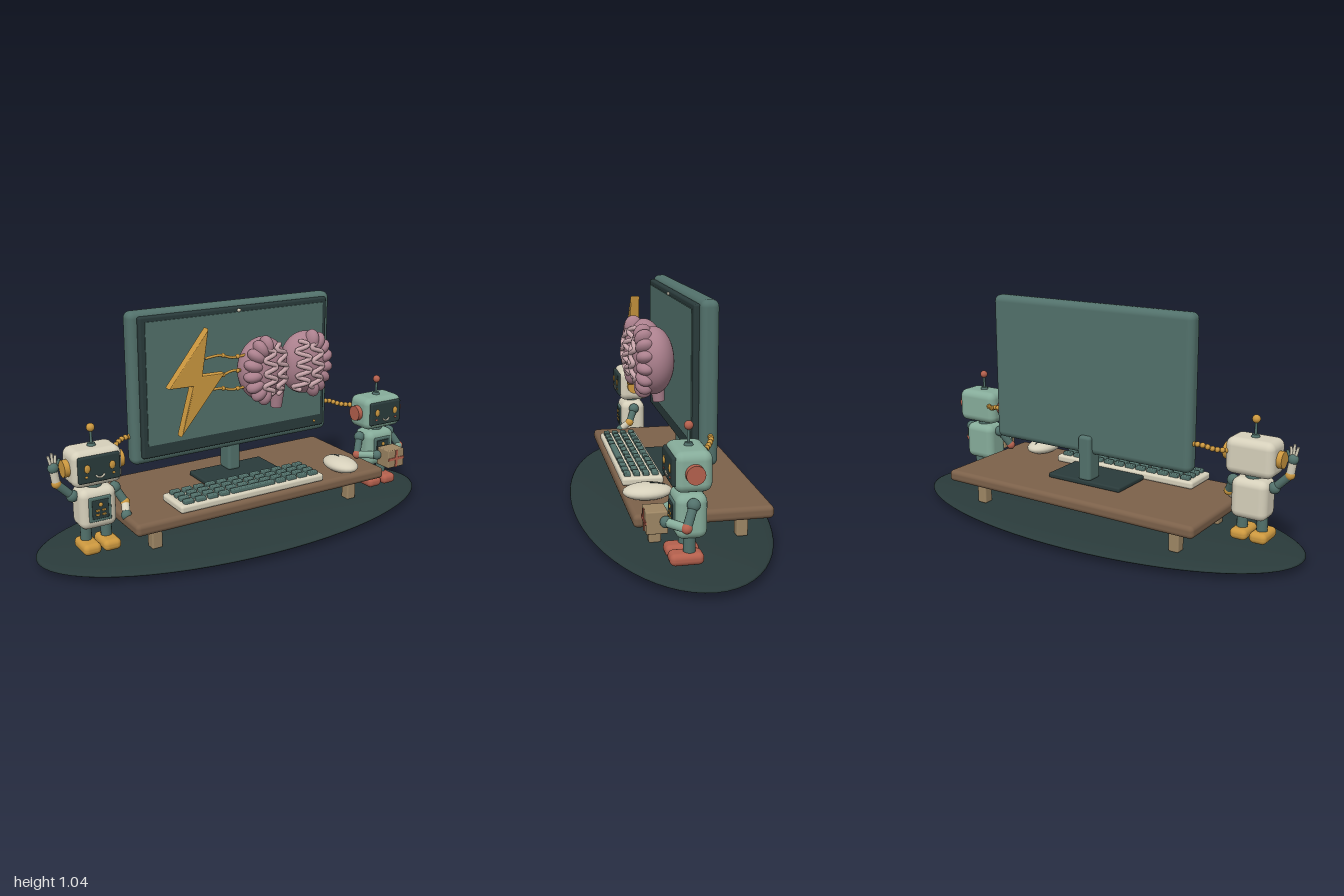
import * as THREE from 'three';
import { RoundedBoxGeometry } from 'three/addons/geometries/RoundedBoxGeometry.js';

const paint = (name, color) => Object.assign(new THREE.MeshStandardMaterial({ color }), { name });
const teal = paint('teal', 0x52716b), dark = paint('dark slate', 0x2a3b3b), cream = paint('cream', 0xd6d0bb);
const green = paint('sage green', 0x86ac9a), gold = paint('gold', 0xcc983f), red = paint('brick red', 0xb4604d);
const wood = paint('walnut', 0x7c614a), tan = paint('tan', 0x9d8664);
const pink = paint('brain pink', 0xab808d), blush = paint('light pink', 0xc9a6ab);
const V = (x, y, z) => new THREE.Vector3(x, y, z);

function add(parent, name, geo, mat, x = 0, y = 0, z = 0) {
  const m = new THREE.Mesh(geo, mat);
  m.name = name;
  m.position.set(x, y, z);
  parent.add(m);
  return m;
}
const group = (parent, name, x = 0, y = 0, z = 0) => {
  const g = new THREE.Group();
  g.name = name;
  g.position.set(x, y, z);
  parent.add(g);
  return g;
};
const box = (w, h, d, r) => new RoundedBoxGeometry(w, h, d, 3, r);
const ball = (rx, ry = rx, rz = rx) => new THREE.SphereGeometry(1, 24, 16).scale(rx, ry, rz);
const tube = (pts, r, n = 40) => new THREE.TubeGeometry(new THREE.CatmullRomCurve3(pts), n, r, 8);

// Straight cylinder between two points
function limb(parent, name, a, b, r, mat) {
  const d = b.clone().sub(a), mid = a.clone().lerp(b, 0.5);
  const m = add(parent, name, new THREE.CylinderGeometry(r, r, d.length(), 16), mat, mid.x, mid.y, mid.z);
  m.quaternion.setFromUnitVectors(V(0, 1, 0), d.normalize());
}

function buildDesk(root) {
  add(root, 'groundDisc', new THREE.SphereGeometry(1, 64, 24).scale(1, 0.033, 0.432), dark, 0, 0.034, 0);
  const desk = group(root, 'desk');
  add(desk, 'deskTop', box(1.31, 0.055, 0.58, 0.02), wood, 0, 0.192, -0.04);
  for (const x of [-0.525, 0.525]) for (const z of [0.145, -0.225])
    add(desk, 'deskLeg', box(0.05, 0.12, 0.05, 0.008), tan, x, 0.115, z);
}

function buildMonitor(root) {
  const g = group(root, 'monitor');
  add(g, 'monitorShell', box(1.05, 0.685, 0.077, 0.03), teal, 0, 0.7, -0.0865);
  add(g, 'bezel', box(0.975, 0.632, 0.03, 0.01), dark, 0, 0.707, -0.04);
  add(g, 'screen', new THREE.BoxGeometry(0.925, 0.55, 0.006), teal, 0, 0.725, -0.024);
  add(g, 'camera', ball(0.01, 0.008, 0.006), cream, 0, 1.008, -0.02);
  add(g, 'powerLight', ball(0.006), gold, 0.43, 0.42, -0.024);
  add(g, 'standNeck', box(0.066, 0.21, 0.087, 0.015), teal, 0, 0.342, -0.103);
  add(g, 'standFoot', box(0.39, 0.023, 0.215, 0.008), dark, 0, 0.231, -0.045);
}

function buildKeyboard(root) {
  const g = group(root, 'keyboard');
  add(g, 'keyboardTray', box(0.745, 0.035, 0.182, 0.012), cream, -0.072, 0.238, 0.15);
  for (let row = 0; row < 4; row++) for (let col = 0; col < 12; col++) {
    const x = -0.396 + col * 0.059;
    if (row === 3 && col > 3 && col < 8) continue;
    add(g, 'key', box(0.046, 0.022, 0.027, 0.005), teal, x, 0.261, 0.09 + row * 0.041);
  }
  add(g, 'spaceBar', box(0.225, 0.022, 0.027, 0.005), teal, -0.072, 0.261, 0.213);
  const mouse = group(root, 'mouse', 0.457, 0.25, 0.16);
  add(mouse, 'mouseShell', ball(0.07, 0.034, 0.104), cream);
  add(mouse, 'mouseSeam', tube([V(0, 0.023, -0.075), V(0, 0.0305, -0.045), V(0, 0.0345, -0.01)], 0.0025, 12), dark);
}

function buildBolt(root) {
  const pts = [[-0.235, 0.965], [-0.415, 0.737], [-0.302, 0.735], [-0.365, 0.522], [-0.16, 0.766], [-0.268, 0.766]];
  const shape = new THREE.Shape(pts.map(([x, y]) => new THREE.Vector2(x, y)));
  add(root, 'lightningBolt', new THREE.ExtrudeGeometry(shape,
    { depth: 0.03, bevelThickness: 0.006, bevelSize: 0.006, bevelSegments: 2 }), gold, 0, 0, 0.077);
  // Wires from the bolt to the brain
  for (const [y, dy] of [[0.84, 0.008], [0.765, -0.008], [0.695, 0.006]]) {
    add(root, 'brainWire', tube([V(-0.24, y, 0.09), V(-0.17, y + dy, 0.1), V(-0.11, y - dy, 0.105), V(-0.03, y, 0.11)], 0.006, 24), gold);
    add(root, 'wireNode', ball(0.01), gold, -0.155, y + dy * 0.7, 0.1);
    add(root, 'wireNode', ball(0.01), gold, -0.085, y - dy * 0.7, 0.107);
  }
}

function buildBrain(root) {
  const brain = group(root, 'brain', 0.16, 0.762, 0.1);
  for (const s of [-1, 1]) {
    const half = group(brain, 'brainHalf', s * 0.112, 0, 0);
    // Flatten the side that meets the other half
    const geo = new THREE.SphereGeometry(1, 40, 28).scale(0.121, 0.144, 0.088);
    const p = geo.attributes.position;
    for (let i = 0; i < p.count; i++) if (p.getX(i) * s < -0.106) p.setX(i, -s * 0.106);
    geo.computeVertexNormals();
    add(half, 'hemisphere', geo, pink);
    // Plump folds around the outer edge
    for (let i = 0; i < 8; i++) {
      const a = -1.35 + i * 0.4;
      const fold = add(half, 'outerFold', ball(0.046, 0.029, 0.04), pink,
        s * Math.cos(a) * 0.076, Math.sin(a) * 0.113, 0.045);
      fold.rotation.z = s * a;
    }
    // Winding ridges laid over the front
    const ridge = (cx, amp, top, turns, phase) => {
      const pts = [];
      const n = turns * 8;
      for (let i = 0; i <= n; i++) {
        const t = i / n, y = top * (1 - 2 * t);
        const x = s * (cx + amp * Math.sin(t * turns * Math.PI * 2 + phase));
        const k = Math.max(0.08, 1 - (x / 0.125) ** 2 - (y / 0.15) ** 2);
        pts.push(V(x, y, 0.092 * Math.sqrt(k) + 0.004));
      }
      add(half, 'frontRidge', tube(pts, 0.0105, turns * 24), blush);
      for (const e of [pts[0], pts[n]]) add(half, 'ridgeEnd', ball(0.0105), blush, e.x, e.y, e.z);
    };
    ridge(-0.055, 0.028, 0.112, 4, 0);
    ridge(0.014, 0.027, 0.118, 4, 1.2);
  }
  const stem = add(brain, 'brainStem', new THREE.CylinderGeometry(0.036, 0.026, 0.13, 20), pink, -0.005, -0.14, -0.04);
  stem.rotation.x = 0.1;
}

function buildRobot(root, name, x, z, shell, accent) {
  const g = group(root, name, x, 0, z);
  add(g, 'head', box(0.22, 0.16, 0.148, 0.035), shell, 0, 0.447, 0);
  add(g, 'facePlate', box(0.185, 0.115, 0.02, 0.009), dark, 0, 0.45, 0.073);
  add(g, 'smile', new THREE.TorusGeometry(0.02, 0.004, 8, 16, Math.PI * 0.8).rotateZ(Math.PI * 1.1), cream, 0, 0.433, 0.084);
  add(g, 'antennaRod', new THREE.CylinderGeometry(0.006, 0.006, 0.08, 10), teal, 0, 0.56, 0);
  add(g, 'antennaBase', new THREE.CylinderGeometry(0.015, 0.02, 0.015, 16), teal, 0, 0.531, 0);
  add(g, 'antennaBall', ball(0.018), accent, 0, 0.604, 0);
  add(g, 'neck', new THREE.CylinderGeometry(0.035, 0.035, 0.04, 20), teal, 0, 0.36, 0);
  add(g, 'torso', box(0.165, 0.18, 0.125, 0.035), shell, 0, 0.262, 0);
  // Chest panel with lights
  add(g, 'chestFrame', box(0.1, 0.11, 0.014, 0.006), teal, 0, 0.265, 0.061);
  add(g, 'chestPanel', box(0.074, 0.084, 0.009, 0.004), dark, 0, 0.265, 0.067);
  add(g, 'chestLight', ball(0.009, 0.009, 0.005), gold, 0, 0.287, 0.072);
  for (const y of [0.262, 0.243]) for (const dx of [-0.014, 0.014])
    add(g, 'chestButton', box(0.018, 0.009, 0.008, 0.003), gold, dx, y, 0.071);
  for (const s of [-1, 1]) {
    add(g, 'eye', ball(0.013, 0.018, 0.006), gold, s * 0.055, 0.457, 0.083);
    add(g, 'cheek', ball(0.007, 0.005, 0.004), accent, s * 0.06, 0.422, 0.083);
    add(g, 'ear', new THREE.CylinderGeometry(0.037, 0.037, 0.03, 28).rotateZ(Math.PI / 2), accent, s * 0.118, 0.447, 0);
    add(g, 'leg', new THREE.CylinderGeometry(0.024, 0.024, 0.08, 16), teal, s * 0.046, 0.148, 0.005);
    add(g, 'foot', box(0.08, 0.05, 0.135, 0.022), accent, s * 0.045, 0.093, 0.018);
  }
  return g;
}

function buildArm(robot, shell, accent, shoulder, elbow, hand) {
  const g = group(robot, 'arm');
  add(g, 'shoulder', ball(0.026), teal, shoulder.x, shoulder.y, shoulder.z);
  limb(g, 'upperArm', shoulder, elbow, 0.018, teal);
  add(g, 'elbow', ball(0.021), accent, elbow.x, elbow.y, elbow.z);
  limb(g, 'forearm', elbow, hand, 0.018, shell);
  add(g, 'hand', ball(0.023), teal, hand.x, hand.y, hand.z);
}

export function createModel() {
  const root = new THREE.Group();
  root.name = 'robotDeskScene';
  buildDesk(root);
  buildMonitor(root);
  buildKeyboard(root);
  buildBolt(root);
  buildBrain(root);

  // Waving robot
  const waver = buildRobot(root, 'wavingRobot', -0.75, 0.033, cream, gold);
  buildArm(waver, cream, gold, V(-0.095, 0.32, 0), V(-0.16, 0.388, 0), V(-0.17, 0.458, 0));
  buildArm(waver, cream, gold, V(0.095, 0.32, 0), V(0.128, 0.255, 0.03), V(0.112, 0.215, 0.075));
  for (let i = -1; i <= 2; i++)
    limb(waver, 'finger', V(-0.17 + i * 0.008, 0.465, 0), V(-0.173 + i * 0.016, i === 2 ? 0.495 : 0.522 - Math.abs(i) * 0.01, 0), 0.006, i === 2 ? teal : cream);

  // Robot carrying a gift box
  const carrier = buildRobot(root, 'carryingRobot', 0.75, 0.053, green, red);
  for (const s of [-1, 1])
    buildArm(carrier, green, red, V(s * 0.095, 0.32, 0), V(s * 0.135, 0.245, 0.035), V(s * 0.062, 0.248, 0.1));
  const gift = group(carrier, 'giftBox', 0, 0.24, 0.13);
  add(gift, 'giftBody', box(0.098, 0.09, 0.085, 0.005), tan);
  add(gift, 'ribbonUpright', new THREE.BoxGeometry(0.013, 0.088, 0.006), red, 0, 0, 0.043);
  add(gift, 'ribbonAcross', new THREE.BoxGeometry(0.096, 0.013, 0.006), red, 0, 0, 0.043);

  // Beaded cables between heads and monitor
  for (const s of [-1, 1]) {
    const pts = [V(s * 0.5, 0.488, -0.09), V(s * 0.56, 0.487, -0.083), V(s * 0.61, 0.47, -0.055), V(s * 0.67, 0.465, -0.015)];
    add(root, 'headCable', tube(pts, 0.008), gold);
    const curve = new THREE.CatmullRomCurve3(pts);
    for (let i = 1; i < 9; i++) {
      const p = curve.getPointAt(i / 9);
      add(root, 'cableBead', ball(0.012), gold, p.x, p.y, p.z);
    }
  }
  return root;
}
